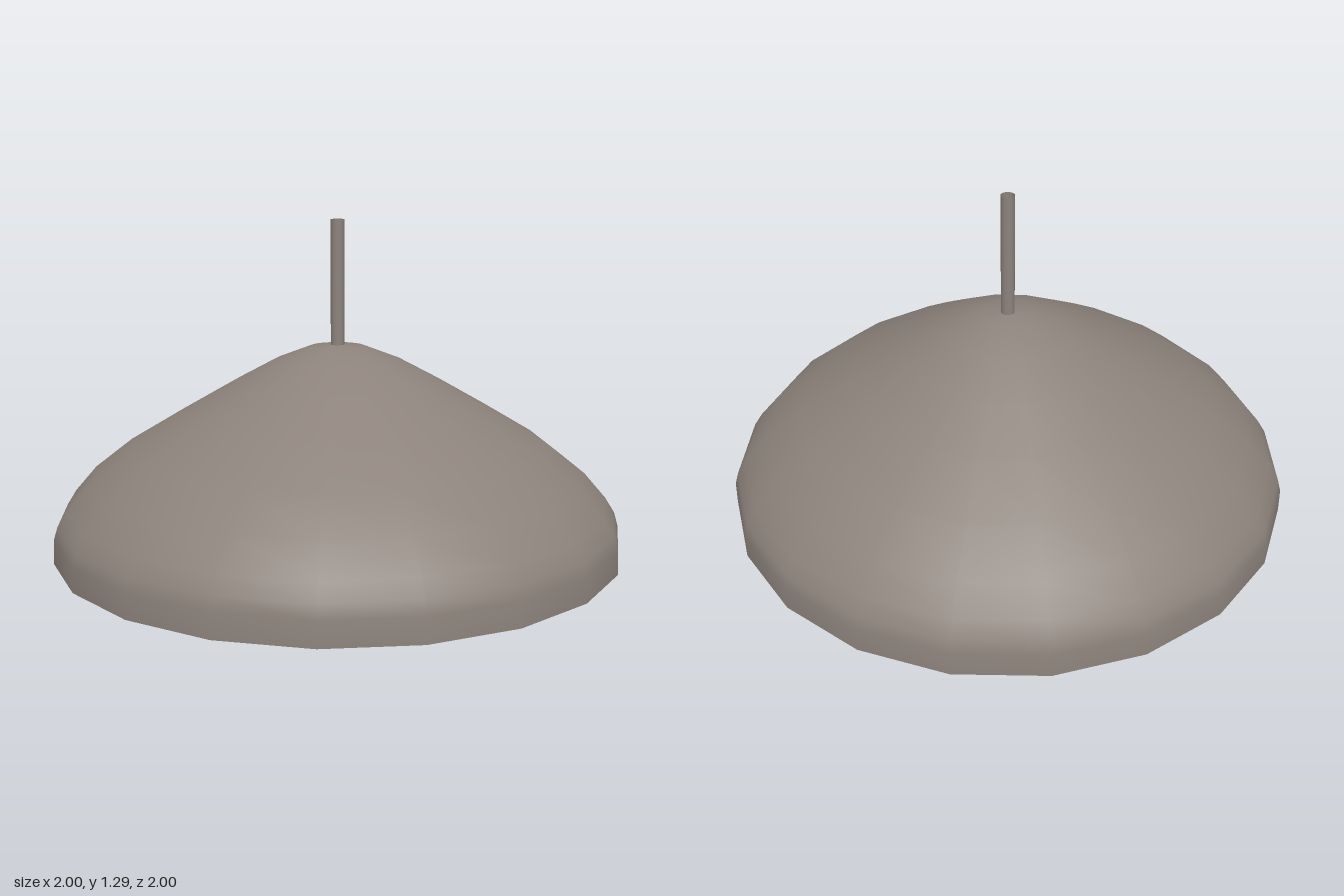
import * as THREE from 'three';

const material = (color) => new THREE.MeshStandardMaterial({ color, side: THREE.DoubleSide });

// Smooth curve through [radius, height] points, revolved around y
function revolve(name, points, sides, mat) {
  const profile = points.map(([r, y]) => new THREE.Vector2(r, y));
  const mesh = new THREE.Mesh(new THREE.LatheGeometry(profile, sides), mat);
  mesh.name = name;
  return mesh;
}

export function createModel() {
  const lamp = new THREE.Group();
  lamp.name = 'pendantLamp';
  const metal = material(0x8c827b);
  const glass = material(0xaaa072);

  // Domed shade with a twenty-sided rim
  lamp.add(revolve('shade', [
    [1, 0.137], [0.998, 0.22], [0.985, 0.265], [0.952, 0.318], [0.875, 0.407], [0.74, 0.512],
    [0.55, 0.625], [0.375, 0.725], [0.225, 0.805], [0.095, 0.855], [0, 0.861],
  ], 20, metal));

  // Conical lining rising from the rim
  lamp.add(revolve('lining', [[0, 0.54], [0.5, 0.338], [1, 0.137]], 20, metal));

  // Hanging rod, open at both ends
  const rod = new THREE.Mesh(new THREE.CylinderGeometry(0.024, 0.024, 0.44, 16, 1, true), metal);
  rod.name = 'rod';
  rod.position.y = 1.075;
  lamp.add(rod);

  // Pear-shaped bulb: round body tapering to a closed neck
  const radius = 0.167;
  const body = [];
  for (let i = 0; i <= 14; i++) {
    const a = (i / 14) * Math.PI * 0.6;
    body.push([radius * Math.sin(a), radius * (1 - Math.cos(a))]);
  }
  lamp.add(revolve('bulb', [
    ...body, [0.146, 0.25], [0.124, 0.285], [0.1, 0.32], [0.081, 0.35], [0.068, 0.378], [0.062, 0.392], [0, 0.397],
  ], 32, glass));

  return lamp;
}
